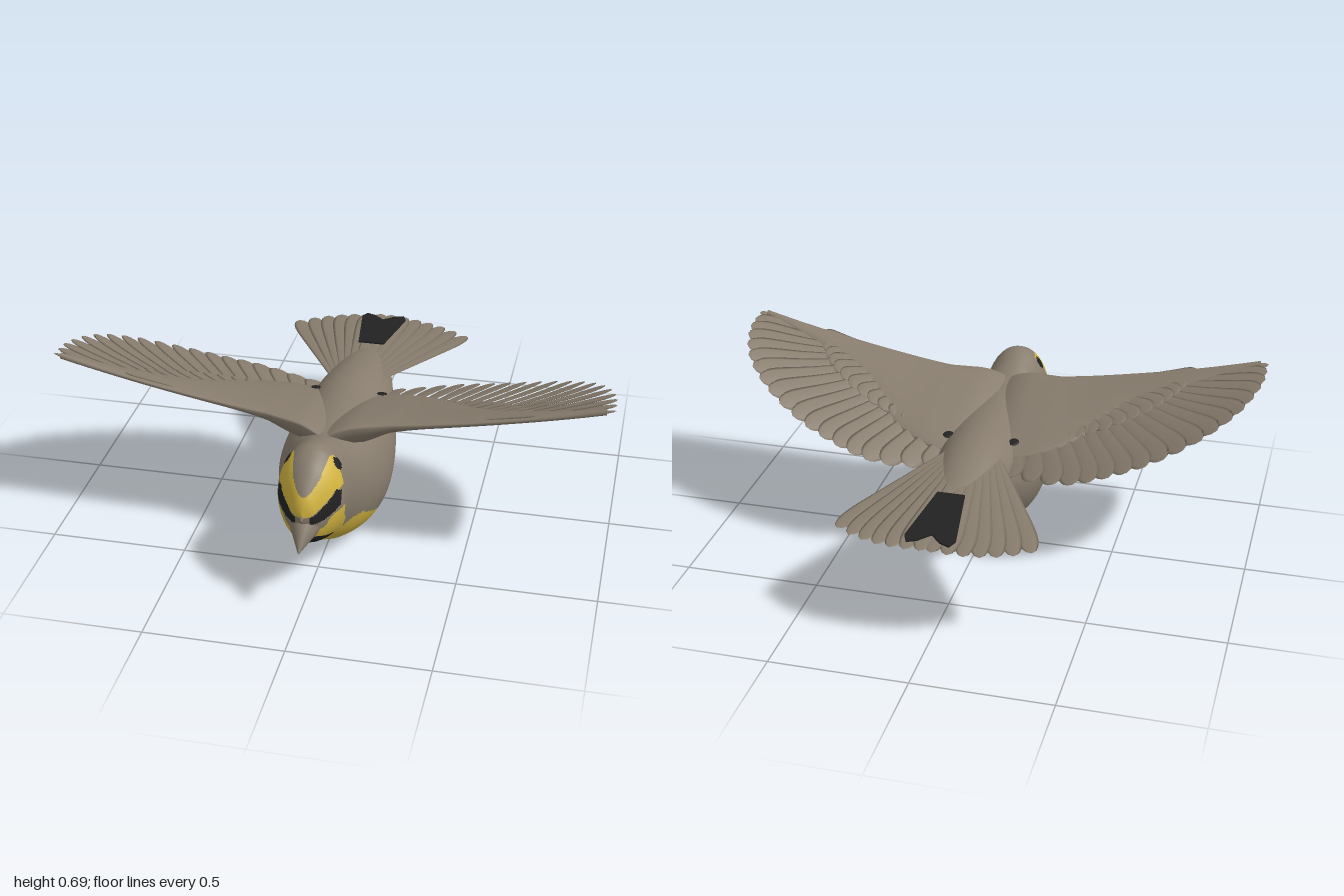
import * as THREE from 'three';

const V = (x, y, z) => new THREE.Vector3(x, y, z);
const paint = (name, color) => Object.assign(new THREE.MeshStandardMaterial({ color }), { name });

// Skin over a list of closed rings; paintRule(centre) picks a material slot per face
function loft(rings, paintRule) {
  const n = rings[0].length, pts = rings.flat(), quads = [];
  let volume = 0;
  for (let i = 0; i < rings.length - 1; i++) {
    for (let j = 0; j < n; j++) {
      const a = i * n + j, b = i * n + (j + 1) % n, c = b + n, d = a + n;
      quads.push([a, b, c], [a, c, d]);
    }
  }
  for (const q of quads) {
    const [a, b, c] = q.map(k => pts[k].clone().sub(pts[0]));
    volume += a.dot(b.cross(c));
  }
  const slots = [[], [], []];
  for (const q of quads) {
    const centre = V(0, 0, 0);
    q.forEach(k => centre.addScaledVector(pts[k], 1 / 3));
    slots[paintRule ? paintRule(centre) : 0].push(...(volume < 0 ? [q[0], q[2], q[1]] : q));
  }
  const geo = new THREE.BufferGeometry().setFromPoints(pts);
  geo.setIndex(slots.flat());
  let start = 0;
  slots.forEach((s, k) => { if (s.length) geo.addGroup(start, s.length, k); start += s.length; });
  geo.computeVertexNormals();
  return geo;
}

const ring = (n, f) => Array.from({ length: n }, (_, j) => f(j / n * Math.PI * 2));
const spline = pts => new THREE.CatmullRomCurve3(pts.map(p => V(...p)), false, 'catmullrom', 0.5);

// Point-in-outline test in the side plane (z, y)
function inside(poly, z, y) {
  let hit = false;
  for (let i = 0, j = poly.length - 1; i < poly.length; j = i++) {
    const [az, ay] = poly[i], [bz, by] = poly[j];
    if ((ay > y) !== (by > y) && z < (bz - az) * (y - ay) / (by - ay) + az) hit = !hit;
  }
  return hit;
}

// Plumage markings
const belly = [[0.8, 0.28], [0.68, 0.3], [0.66, 0.335], [0.59, 0.345], [0.585, 0.3], [0.55, 0.26], [0.54, 0.215],
  [0.41, 0.2], [0.36, 0.17], [0.25, 0.12], [0.2, 0.085], [0, 0.08], [-0.05, 0.11], [-0.1, 0.15], [-0.14, 0.22],
  [-0.2, 0.28], [-0.28, 0.285], [-0.3, 0.25], [-0.3, -0.1], [0.8, -0.1]];
const brow = [[0.8, 0.36], [0.73, 0.36], [0.65, 0.41], [0.585, 0.425], [0.57, 0.48], [0.55, 0.515], [0.6, 0.52],
  [0.67, 0.465], [0.71, 0.435], [0.8, 0.435]];
const lore = [[0.74, 0.35], [0.7, 0.375], [0.63, 0.422], [0.605, 0.41], [0.62, 0.36], [0.69, 0.33], [0.74, 0.33]];
const chin = [[0.8, 0.28], [0.7, 0.268], [0.59, 0.22], [0.59, 0.1], [0.8, 0.1]];

function plumage({ x, y, z }) {
  const ax = Math.abs(x);
  if (ax < 0.08 && inside(chin, z, y)) return 2;
  if (ax > 0.025 && inside(lore, z, y)) return 2;
  if (Math.hypot(z - 0.563, y - 0.486) < 0.021) return 2;
  const browed = y < 0.43 + 22 * x * x && inside(brow, z, y);
  return browed || inside(belly, z, y) ? 1 : 0;
}

// Body and head: z, underside, top, half width
const SECTIONS = [
  [0.735, 0.345, 0.37, 0.004], [0.722, 0.29, 0.415, 0.034], [0.7, 0.246, 0.45, 0.056], [0.65, 0.207, 0.502, 0.095],
  [0.6, 0.183, 0.533, 0.117], [0.55, 0.15, 0.546, 0.125], [0.47, 0.1, 0.522, 0.135], [0.4, 0.058, 0.495, 0.16],
  [0.3, 0.018, 0.482, 0.19], [0.2, 0, 0.478, 0.203], [0.1, 0.014, 0.477, 0.2], [0, 0.06, 0.477, 0.187],
  [-0.1, 0.13, 0.477, 0.165], [-0.2, 0.217, 0.465, 0.138], [-0.3, 0.273, 0.445, 0.112], [-0.4, 0.31, 0.425, 0.085],
  [-0.5, 0.345, 0.408, 0.055], [-0.58, 0.385, 0.393, 0.005]];

function bodyGeometry() {
  const heights = spline(SECTIONS.map(([z, lo, hi]) => [z, lo, hi]));
  const widths = spline(SECTIONS.map(([z, , , w]) => [z, w, 0]));
  const rings = [];
  for (let i = 0; i <= 200; i++) {
    const h = heights.getPoint(i / 200), w = widths.getPoint(i / 200).y;
    rings.push(ring(120, a => V(w * Math.sin(a), (h.y + h.z) / 2 + (h.z - h.y) / 2 * Math.cos(a), h.x)));
  }
  return loft(rings, plumage);
}

function beakGeometry() {
  const rings = [];
  for (let i = 0; i <= 12; i++) {
    const k = i / 12, hi = 0.38 - 0.128 * k ** 1.7, lo = 0.255 - 0.008 * k;
    const w = 0.068 * (1 - k) ** 0.95 + 0.0005;
    rings.push(ring(24, a => V(w * Math.sin(a), (hi + lo) / 2 + (hi - lo) / 2 * Math.cos(a), 0.67 + 0.12 * k)));
  }
  return loft(rings);
}

// Feather draped on a height rule, one edge tilted over its neighbour
function feather(side, root, tip, width, height, lift, tilt) {
  const dx = tip.x - root.x, dz = tip.z - root.z, len = Math.hypot(dx, dz), rings = [];
  for (let i = 0; i <= 14; i++) {
    const t = 1 - (1 - i / 14) ** 1.5;
    const end = t > 0.82 ? Math.sqrt(Math.max(0, 1 - ((t - 0.82) / 0.18) ** 2)) : 1;
    const w = width * Math.min(1, 0.4 + 0.8 * t) * end + 0.0005;
    rings.push(ring(8, a => {
      const s = Math.cos(a) * w;
      const x = root.x + dx * t - dz / len * s, z = root.z + dz * t + dx / len * s;
      return V(side * x, height(x, z) + lift + tilt * s + 0.0045 * Math.sin(a) * (end + 0.1), z);
    }));
  }
  return loft(rings);
}

// Wing rises outwards, slopes down to the rear (less so at the tip) and sinks into the back
const wingY = (x, z) => 0.5 + 0.11 * x + 0.07 * x * x - (0.265 - 0.14 * x ** 4) * (0.36 - z)
  - 0.035 * Math.max(0, 1 - x / 0.12) ** 2;
const tailY = (x, z) => 0.44 + 0.09 * (z + 0.15) - 0.03 * Math.abs(x);

// Wing arm: x, rear edge z, half thickness
const ARM = spline([[0, -0.1, 0.1], [0.07, -0.1, 0.12], [0.14, -0.1, 0.105], [0.22, -0.08, 0.06], [0.32, -0.03, 0.036],
  [0.42, 0.06, 0.026], [0.5, 0.15, 0.02], [0.6, 0.21, 0.016], [0.72, 0.27, 0.012], [0.86, 0.315, 0.008], [0.97, 0.34, 0.004]]);
const FEATHER_ROOTS = spline([[0.62, 0, 0.34], [0.56, 0, 0.3], [0.5, 0, 0.25], [0.4, 0, 0.18], [0.28, 0, 0.12], [0.12, 0, 0.05]]);
const FEATHER_TIPS = spline([[1, 0, 0.345], [0.995, 0, 0.21], [0.94, 0, 0.06], [0.83, 0, -0.06], [0.68, 0, -0.15],
  [0.52, 0, -0.205], [0.36, 0, -0.232], [0.16, 0, -0.19]]);

function makeWing(side, grey) {
  const wing = new THREE.Group();
  wing.name = side > 0 ? 'leftWing' : 'rightWing';
  const add = (geo, name) => {
    const mesh = new THREE.Mesh(geo, grey);
    mesh.name = name;
    wing.add(mesh);
  };
  const rings = [];
  for (let i = 0; i <= 44; i++) {
    const p = ARM.getPoint(i / 44), lead = 0.365 + 0.05 * Math.max(0, 1 - p.x / 0.22);
    const mid = (lead + p.y) / 2, half = (lead - p.y) / 2;
    rings.push(ring(24, a => {
      const z = mid + half * Math.cos(a), front = 0.6 + 0.4 * Math.cos(a);
      const up = Math.sin(a) > 0 ? 0.014 + Math.min(p.z, 0.06) * 0.25 : p.z * front + 0.004;
      return V(side * p.x, wingY(p.x, z) + Math.sin(a) * up, z);
    }));
  }
  add(loft(rings), 'wingArm');
  // Long flight feathers
  const count = 19;
  for (let i = 0; i < count; i++) {
    const t = i / (count - 1);
    add(feather(side, FEATHER_ROOTS.getPoint(t), FEATHER_TIPS.getPoint(t), i ? 0.043 : 0.02, wingY, 0, 0.2), 'flightFeather');
  }
  // Short covert feathers over their bases
  for (let i = 0; i < 15; i++) {
    const t = 0.04 + 0.92 * i / 14;
    const root = FEATHER_ROOTS.getPoint(t), tip = FEATHER_TIPS.getPoint(t).lerp(root, 0.66);
    root.x *= 0.92;
    add(feather(side, root, tip, 0.036, wingY, 0.009, 0.16), 'covertFeather');
  }
  return wing;
}

// Dark plate lying on the middle of the tail, notched at its end
function tailPatchGeometry() {
  const shape = new THREE.Shape([[-0.05, 0.45], [0.05, 0.45], [0.09, 0.72], [0.075, 0.755], [0.04, 0.74], [0, 0.7],
    [-0.04, 0.74], [-0.075, 0.755], [-0.09, 0.72]].map(p => new THREE.Vector2(...p)));
  const geo = new THREE.ExtrudeGeometry(shape, { depth: 0.006, bevelEnabled: false });
  geo.rotateX(-Math.PI / 2);
  const p = geo.attributes.position;
  for (let i = 0; i < p.count; i++) p.setY(i, p.getY(i) + tailY(0.04, p.getZ(i)) + 0.0085);
  geo.computeVertexNormals();
  return geo;
}

export function createModel() {
  const grey = paint('greyBrown', 0x877c6d), yellow = paint('yellow', 0xd2b440), black = paint('black', 0x222222);
  const bird = new THREE.Group();
  bird.name = 'bird';
  const add = (geo, mat, name, parent = bird) => {
    const mesh = new THREE.Mesh(geo, mat);
    mesh.name = name;
    parent.add(mesh);
    return mesh;
  };
  add(bodyGeometry(), [grey, yellow, black], 'body');
  add(beakGeometry(), grey, 'beak');

  for (const side of [1, -1]) {
    bird.add(makeWing(side, grey));
    // Small dark spot behind each shoulder
    const spot = add(new THREE.SphereGeometry(0.02, 12, 8), black, 'shoulderSpot');
    spot.scale.y = 0.2;
    spot.position.set(side * 0.125, wingY(0.125, -0.035) + 0.025, -0.035);
    spot.rotation.x = -0.26;
  }

  // Fanned tail, stacked highest in the middle
  const tail = new THREE.Group();
  tail.name = 'tail';
  bird.add(tail);
  for (const side of [1, -1]) {
    for (let i = 0; i < 7; i++) {
      const k = (i + 0.4) / 6.4;
      const root = V(0.085 * k, 0, -0.15), tip = V(0.345 * k, 0, -0.785 + 0.1 * k ** 2.5);
      add(feather(side, root, tip, 0.039, tailY, 0.002 - 0.002 * i, 0.08), grey, 'tailFeather', tail);
    }
  }
  add(tailPatchGeometry(), black, 'tailPatch', tail);
  return bird;
}
